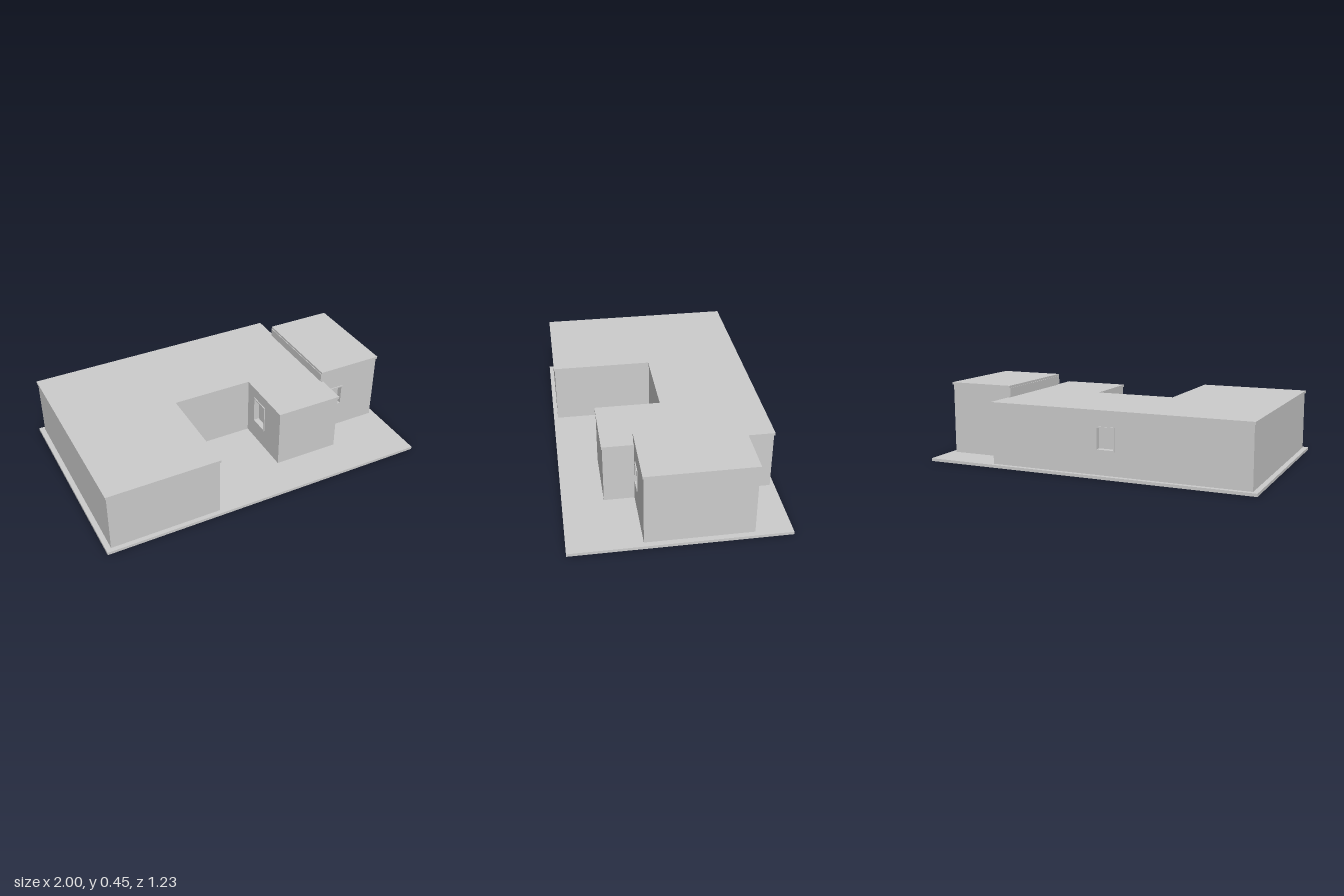
import * as THREE from 'three';

const BASE_TOP = 0.017;
const WALL = 0.03;

export function createModel() {
  const model = new THREE.Group();
  model.name = 'house';
  const plaster = new THREE.MeshStandardMaterial({ color: 0xcccccc });
  plaster.name = 'light grey plaster';

  function add(geometry, name, parent = model) {
    const mesh = new THREE.Mesh(geometry, plaster);
    mesh.name = name;
    parent.add(mesh);
    return mesh;
  }

  function rect(Type, x0, y0, x1, y1) {
    return new Type([[x0, y0], [x1, y0], [x1, y1], [x0, y1]].map(p => new THREE.Vector2(...p)));
  }

  const extrude = (shape, depth) => new THREE.ExtrudeGeometry(shape, { depth, bevelEnabled: false });

  function box(name, x0, x1, y0, y1, z0, z1) {
    add(new THREE.BoxGeometry(x1 - x0, y1 - y0, z1 - z0), name)
      .position.set((x0 + x1) / 2, (y0 + y1) / 2, (z0 + z1) / 2);
  }

  // One wall from a to b; an optional window [s0, y0, s1, y1] is measured along it
  function wall(a, b, height, name, win) {
    const dx = b[0] - a[0], dz = b[1] - a[1];
    const group = new THREE.Group();
    group.name = name;
    group.position.set(a[0], 0, a[1]);
    group.rotation.y = -Math.atan2(dz, dx);
    model.add(group);

    const shape = rect(THREE.Shape, 0, BASE_TOP, Math.hypot(dx, dz), height);
    if (win) {
      const [s0, y0, s1, y1] = win, e = 0.007;
      const inner = [s0 + e, y0 + e, s1 - e, y1 - e];
      shape.holes.push(rect(THREE.Path, ...inner));
      // Raised frame around the recessed pane
      const ring = rect(THREE.Shape, ...win);
      ring.holes.push(rect(THREE.Path, ...inner));
      add(extrude(ring, 0.006), 'windowFrame', group);
      add(extrude(rect(THREE.Shape, ...win), 0.005), 'windowPane', group).position.z = -WALL - 0.004;
    }
    add(extrude(shape, WALL), 'wallPanel', group).position.z = -WALL;
  }

  // Closed ring of walls; windows are keyed by wall index
  function walls(points, height, name, windows) {
    points.forEach((p, i) => wall(p, points[(i + 1) % points.length], height, name, windows[i]));
  }

  // Flat roof slab from an outline in x and z
  function roof(points, bottom, top, name) {
    const shape = new THREE.Shape(points.map(([x, z]) => new THREE.Vector2(x, -z)));
    const mesh = add(extrude(shape, top - bottom), name);
    mesh.rotation.x = -Math.PI / 2;
    mesh.position.y = bottom;
  }

  // Ground slab
  box('base', -1, 1, 0, BASE_TOP, -0.613, 0.613);

  // Low U-shaped block around the courtyard
  walls([
    [-0.97, 0.587], [-0.315, 0.587], [-0.315, -0.01], [0.183, -0.01],
    [0.183, 0.375], [0.58, 0.375], [0.58, -0.587], [-0.97, -0.587],
  ], 0.368, 'mainWall', {
    3: [0.08, 0.14, 0.21, 0.31],
    6: [0.66, 0.155, 0.775, 0.29],
  });
  roof([
    [-0.976, 0.592], [-0.309, 0.592], [-0.309, -0.004], [0.178, -0.004],
    [0.178, 0.38], [0.586, 0.38], [0.586, -0.593], [-0.976, -0.593],
  ], 0.367, 0.382, 'mainRoof');

  // Taller block on the left side
  walls([[0.575, 0.2], [0.968, 0.2], [0.968, -0.405], [0.575, -0.405]],
    0.44, 'tallWall', { 0: [0.065, 0.175, 0.155, 0.31] });
  roof([[0.57, 0.205], [0.975, 0.205], [0.975, -0.41], [0.57, -0.41]], 0.439, 0.453, 'tallRoof');

  // Band on the wall that rises above the low roof
  box('upperBand', 0.566, 0.58, 0.39, 0.44, -0.407, 0.202);

  return model;
}
